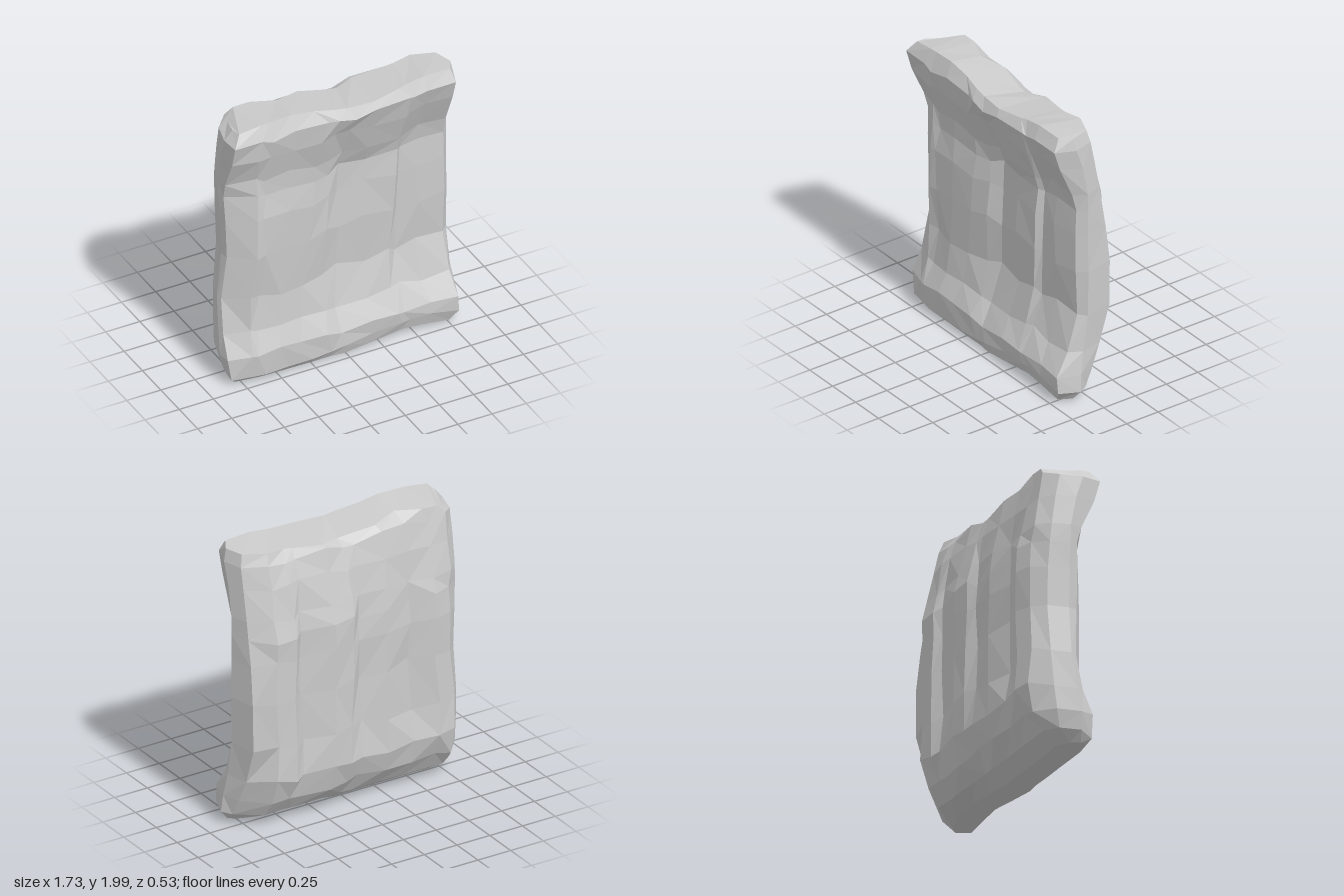
import * as THREE from 'three';

// Levels from bottom to top: y, front z, side z, back z, right and left back corner z, left x, right x
const LEVELS = [
  [0.02, 0.18, 0.10, 0.00, 0.06, 0.05, -0.80, 0.80],
  [0.09, 0.21, 0.08, -0.11, 0.01, -0.05, -0.84, 0.86],
  [0.21, 0.22, 0.07, -0.20, -0.05, -0.08, -0.865, 0.85],
  [0.37, 0.16, 0.04, -0.26, -0.12, -0.10, -0.86, 0.835],
  [0.62, 0.125, 0.00, -0.26, -0.20, -0.12, -0.85, 0.83],
  [0.95, 0.14, 0.00, -0.255, -0.20, -0.13, -0.82, 0.835],
  [1.22, 0.14, 0.00, -0.255, -0.17, -0.13, -0.83, 0.83],
  [1.40, 0.13, 0.00, -0.25, -0.14, -0.12, -0.84, 0.83],
  [1.53, 0.14, 0.00, -0.22, -0.12, -0.11, -0.845, 0.83],
  [1.74, 0.205, 0.04, -0.17, -0.08, -0.08, -0.845, 0.83],
  [1.89, 0.235, 0.09, -0.13, -0.05, -0.05, -0.845, 0.83],
  [1.96, 0.185, 0.10, -0.09, -0.03, -0.03, -0.79, 0.81],
];

// Front folds: x, depth offset, lean of x with height
const FRONT = [[-0.83, -0.07, 0], [-0.66, 0.03, 0.03], [-0.6, 0.015, 0.04], [-0.43, 0.03, 0.05], [-0.25, 0.01, 0.1],
  [-0.11, -0.02, 0.04], [-0.01, -0.055, 0.04], [0.18, -0.045, 0], [0.39, -0.03, 0.05], [0.44, -0.065, 0.04],
  [0.58, -0.06, 0], [0.78, -0.075, 0]];
// Back folds between the corners: x, depth offset
const BACK = [[-0.71, 0.04], [-0.59, 0.005], [-0.41, 0.065], [-0.22, 0.015], [-0.02, 0.045], [0.06, 0.005],
  [0.2, -0.01], [0.43, 0.045], [0.49, 0.005], [0.63, 0.005]];
const N = FRONT.length;
const RING = 2 * N + 2;

// Uneven crest of the top: height and rear edge along x
const CREST = [[-0.85, 1.95], [-0.72, 1.985], [-0.42, 2], [-0.28, 1.98], [0.05, 1.93], [0.3, 1.95], [0.56, 1.99], [0.85, 1.98]];
const REAR = [[-0.8, -0.1], [-0.58, -0.12], [-0.4, -0.03], [-0.22, -0.1], [-0.08, -0.07], [0.17, -0.05],
  [0.22, -0.16], [0.45, -0.07], [0.65, -0.1]];
// Height of the lower front crease and the bottom edge
const CREASE = [[-0.8, 0.05], [-0.15, 0.06], [0.15, 0.11], [0.65, 0.14], [0.8, 0.1]];
const FOOT = [[-0.8, 0.02], [0, 0.01], [0.2, 0.03], [0.48, 0.06], [0.8, 0.015]];

function lookup(points, x) {
  for (let i = 1; i < points.length; i++) {
    const [x0, y0] = points[i - 1], [x1, y1] = points[i];
    if (x <= x1) return y0 + (y1 - y0) * Math.max(0, (x - x0) / (x1 - x0));
  }
  return points[points.length - 1][1];
}

function seeded(seed) {
  return () => (seed = (seed * 16807) % 2147483647) / 2147483647;
}

const bump = (x, y, cx, cy, rx, ry) => Math.exp(-(((x - cx) / rx) ** 2) - ((y - cy) / ry) ** 2);

function buildSlab() {
  const rand = seeded(77);
  const jitter = (s) => (rand() - 0.5) * 2 * s;
  const pts = [];
  const top = LEVELS.length - 1;

  LEVELS.forEach(([y, fz, sz, bz, rightZ, leftZ, xl, xr], j) => {
    const inner = j > 1 && j < top;
    const fold = Math.min(1, 1.5 * Math.sin(Math.PI * y / 2) ** 2);
    const fit = (x) => (x < 0 ? x * xl / -0.84 : x * xr / 0.83);
    const height = (x) => {
      if (j === top) return lookup(CREST, x);
      if (j === 0) return lookup(FOOT, x);
      return y + (inner ? jitter(0.03) : 0);
    };

    // Front face: folds, knob, hollow, and swellings along the top and bottom
    FRONT.forEach(([x, d, lean]) => {
      const edge = Math.abs(x) > 0.7;
      const px = fit(x) + (inner && !edge ? lean * (y - 1) + jitter(0.015) : 0);
      const py = j === 1 ? lookup(CREASE, px) : edge ? Math.max(y, height(px)) : height(px);
      const z = fz + d * fold + (edge ? 0 : jitter(0.006))
        + 0.03 * bump(x, y, 0.12, 1.53, 0.12, 0.1) - 0.03 * bump(x, y, 0.0, 1.3, 0.13, 0.15)
        + 0.045 * bump(x, y, 0.12, 1.97, 0.25, 0.15) + 0.02 * bump(x, y, -0.62, 1.08, 0.12, 0.3)
        - 0.045 * bump(x, y, -0.86, 0.22, 0.12, 0.3) + 0.02 * bump(x, y, 0.78, 0.18, 0.12, 0.15);
      pts.push(px, py, z);
    });
    // Right side, back face with its two corners, left side
    pts.push(xr, j === top ? 1.975 : y, sz);
    pts.push(fit(0.79), j === top ? 1.975 : y, rightZ);
    [...BACK].reverse().forEach(([x, d]) => {
      const px = fit(x) + (inner ? jitter(0.015) : 0);
      const py = height(px) - (j === top ? 0.02 : 0);
      const z = j === top ? lookup(REAR, px) : bz + d * fold + jitter(0.008);
      pts.push(px, py, z);
    });
    pts.push(fit(-0.8), j === top ? 1.93 : y, leftZ);
    pts.push(xl, y, sz + 0.01);
  });

  const index = [];
  // Walls between neighbouring rings, with irregular diagonals
  for (let j = 0; j < top; j++) {
    for (let i = 0; i < RING; i++) {
      const k = (i + 1) % RING;
      const a = j * RING + i, b = j * RING + k, c = a + RING, d = b + RING;
      if (rand() < 0.5) index.push(a, b, d, a, d, c);
      else index.push(a, b, c, b, d, c);
    }
  }
  // Top and bottom caps
  const cap = (o, flip) => {
    const tri = (a, b, c) => (flip ? index.push(o + a, o + c, o + b) : index.push(o + a, o + b, o + c));
    const back = (i) => 2 * N - i;
    for (let i = 0; i < N - 1; i++) {
      tri(i, i + 1, back(i + 1));
      tri(i, back(i + 1), back(i));
    }
    tri(N - 1, N, back(N - 1));
    tri(RING - 1, 0, back(0));
  };
  cap(0, true);
  cap(top * RING, false);

  const geo = new THREE.BufferGeometry();
  geo.setAttribute('position', new THREE.Float32BufferAttribute(pts, 3));
  geo.setIndex(index);
  const flat = geo.toNonIndexed();
  flat.computeVertexNormals();
  return flat;
}

export function createModel() {
  const group = new THREE.Group();
  group.name = 'rockSlab';
  const slab = new THREE.Mesh(buildSlab(), new THREE.MeshStandardMaterial({ color: 0xcccccc, flatShading: true }));
  slab.name = 'slab';
  // Rest on the ground, centred
  const box = new THREE.Box3().setFromObject(slab);
  const mid = box.getCenter(new THREE.Vector3());
  slab.position.set(-mid.x, -box.min.y, -mid.z);
  group.add(slab);
  return group;
}
